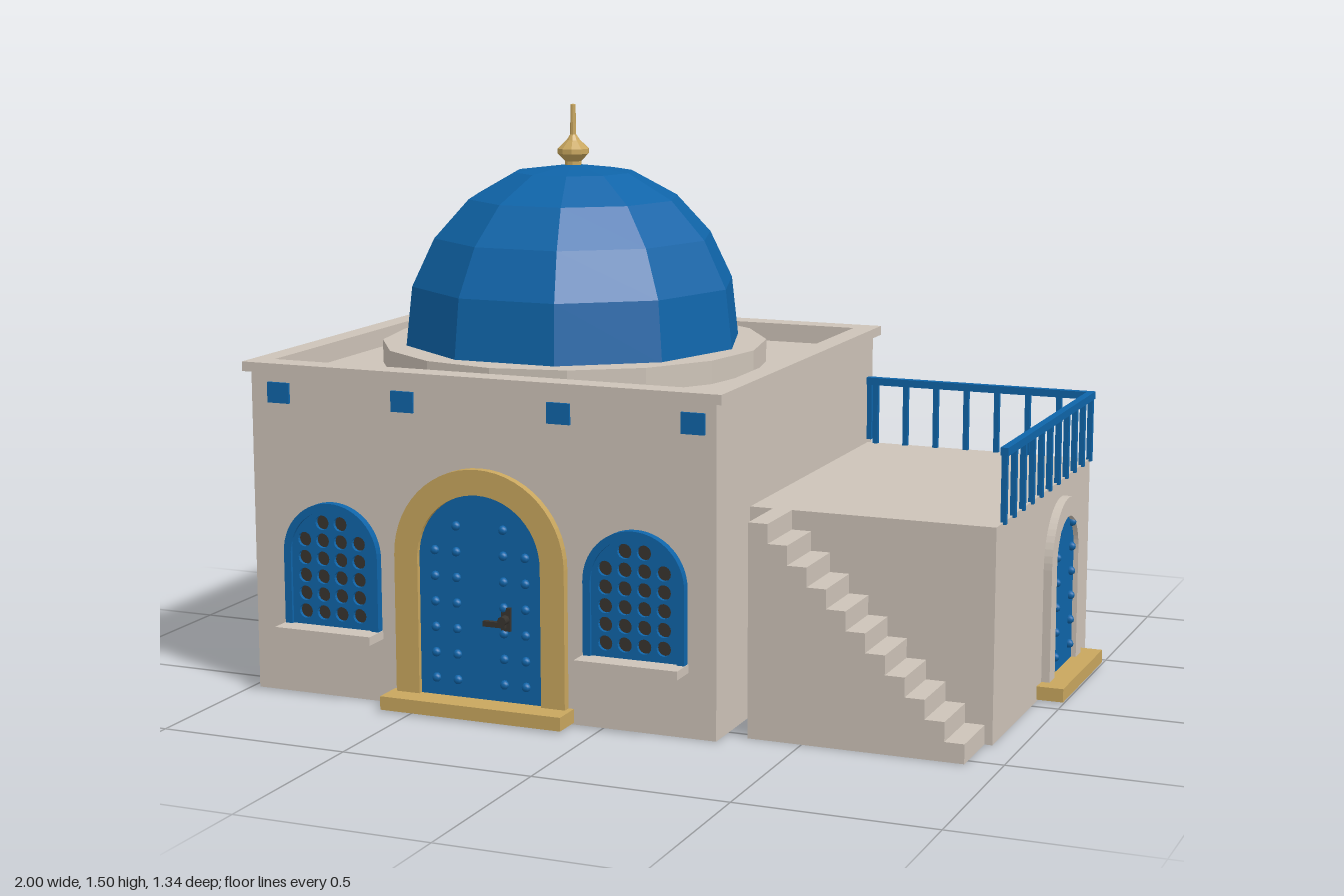
import * as THREE from 'three';

const mat = (name, color) => Object.assign(new THREE.MeshStandardMaterial({ color }), { name });

export function createModel() {
  const plaster = mat('plaster', 0xcdc3b8);
  const blue = mat('blue paint', 0x0f64a8);
  const gold = mat('gold trim', 0xc8a65e);
  const iron = mat('dark iron', 0x38342f);

  const root = new THREE.Group();
  root.name = 'domedHouse';
  const CX = -0.34; // centre of the main block

  const add = (parent, name, geo, material, x = 0, y = 0, z = 0) => {
    const m = new THREE.Mesh(geo, material);
    m.name = name;
    m.position.set(x, y, z);
    parent.add(m);
    return m;
  };
  // box given by its two extreme corners
  const box = (parent, name, material, x0, x1, y0, y1, z0, z1) =>
    add(parent, name, new THREE.BoxGeometry(x1 - x0, y1 - y0, z1 - z0), material,
      (x0 + x1) / 2, (y0 + y1) / 2, (z0 + z1) / 2);
  const faceted = (geo) => {
    const g = geo.toNonIndexed();
    g.computeVertexNormals();
    return g;
  };
  const extrude = (shape, depth) =>
    new THREE.ExtrudeGeometry(shape, { depth, bevelEnabled: false, curveSegments: 14 });

  // round-headed opening: half width r, from y0 up to the springing line yc
  const archShape = (r, y0, yc) => {
    const s = new THREE.Shape();
    s.moveTo(-r, y0);
    s.lineTo(r, y0);
    s.lineTo(r, yc);
    s.absarc(0, yc, r, 0, Math.PI, false);
    s.closePath();
    return s;
  };
  // surround that follows the arch and is open at the foot
  const surroundShape = (outer, inner, y0, yc) => {
    const s = new THREE.Shape();
    s.moveTo(outer, y0);
    s.lineTo(outer, yc);
    s.absarc(0, yc, outer, 0, Math.PI, false);
    s.lineTo(-outer, y0);
    s.lineTo(-inner, y0);
    s.lineTo(-inner, yc);
    s.absarc(0, yc, inner, Math.PI, 0, true);
    s.lineTo(inner, y0);
    s.closePath();
    return s;
  };
  const stud = new THREE.SphereGeometry(0.012, 8, 6);

  // ---- main block with sunken roof ----
  const frame = (name, hx, hz, y0, y1) => {
    const s = new THREE.Shape([[-hx, -hz], [hx, -hz], [hx, hz], [-hx, hz]].map(p => new THREE.Vector2(...p)));
    const [ix, iz] = [0.6, 0.535];
    s.holes.push(new THREE.Path([[-ix, -iz], [-ix, iz], [ix, iz], [ix, -iz]].map(p => new THREE.Vector2(...p))));
    add(root, name, extrude(s, y1 - y0).rotateX(-Math.PI / 2), plaster, CX, y0, 0);
  };
  box(root, 'mainBlock', plaster, -0.98, 0.3, 0, 0.81, -0.585, 0.585);
  frame('parapet', 0.64, 0.585, 0.81, 0.835);
  frame('cornice', 0.658, 0.6, 0.835, 0.86);

  // ---- dome, drum and finial ----
  add(root, 'drum', faceted(new THREE.CylinderGeometry(0.51, 0.51, 0.06, 16)), plaster, CX, 0.84, 0);
  const lathe = (pts, n) => faceted(
    new THREE.LatheGeometry(pts.map(p => new THREE.Vector2(...p)), n).rotateY(Math.PI / 2));
  add(root, 'dome', lathe([[0.45, 0.865], [0.432, 1.025], [0.372, 1.15], [0.28, 1.25],
    [0.157, 1.318], [0, 1.338]], 10), blue, CX);
  add(root, 'finial', lathe([[0.022, 1.33], [0.022, 1.345], [0.042, 1.365], [0.042, 1.378], [0.018, 1.4],
    [0.008, 1.415], [0.007, 1.493], [0, 1.495]], 10), gold, CX);

  // ---- arched window with pierced lattice ----
  const addWindow = (parent, x) => {
    const g = new THREE.Group();
    g.name = 'window';
    g.position.x = x;
    parent.add(g);
    add(g, 'windowBacking', extrude(archShape(0.12, 0.19, 0.375), 0.004), iron);
    const s = archShape(0.125, 0.187, 0.375);
    for (let row = 0; row < 6; row++) {
      for (let col = 0; col < 4; col++) {
        if (row === 5 && (col === 0 || col === 3)) continue;
        const h = new THREE.Path();
        h.absarc((col - 1.5) * 0.052, 0.222 + row * 0.047, 0.019, 0, Math.PI * 2, true);
        s.holes.push(h);
      }
    }
    add(g, 'windowLattice', new THREE.ExtrudeGeometry(s, { depth: 0.014, bevelEnabled: false, curveSegments: 8 }), blue);
    add(g, 'windowFrame', extrude(surroundShape(0.135, 0.115, 0.185, 0.375), 0.022), blue);
    box(g, 'windowSill', plaster, -0.137, 0.137, 0.165, 0.187, -0.01, 0.072);
  };

  // ---- arched door with surround, step and studs ----
  const addDoor = (parent, d) => {
    const g = new THREE.Group();
    g.name = 'door';
    parent.add(g);
    add(g, 'doorLeaf', extrude(archShape(d.inner + 0.005, 0.03, d.yc), 0.009), blue);
    add(g, 'doorSurround', extrude(surroundShape(d.outer, d.inner, 0.03, d.yc), 0.022), d.trim);
    box(g, 'doorStep', gold, -d.step, d.step, 0.005, 0.04, -0.01, d.stepDepth);
    for (const [x, top] of d.studs) {
      for (let y = 0.085; y < top; y += 0.066) {
        for (const s of [-1, 1]) add(g, 'doorStud', stud, blue, s * x, y, 0.012);
      }
    }
    return g;
  };

  // ---- matching front and back elevations ----
  for (const turn of [0, Math.PI]) {
    const side = new THREE.Group();
    side.name = turn ? 'backElevation' : 'frontElevation';
    side.position.set(-0.33, 0, turn ? -0.585 : 0.585);
    side.rotation.y = turn;
    root.add(side);

    const door = addDoor(side, {
      inner: 0.17, outer: 0.235, yc: 0.395, trim: gold, step: 0.25, stepDepth: 0.083,
      studs: [[0.065, 0.54], [0.125, 0.48]]
    });
    // handle: plate, knob and lever
    box(door, 'handlePlate', iron, 0.06, 0.085, 0.225, 0.285, 0.005, 0.018);
    add(door, 'handleKnob', new THREE.CylinderGeometry(0.012, 0.012, 0.03, 8).rotateX(Math.PI / 2), iron, 0.072, 0.255, 0.025);
    box(door, 'handleLever', iron, 0.02, 0.08, 0.238, 0.252, 0.028, 0.04);

    for (const s of [-1, 1]) {
      addWindow(side, s * 0.42);
      for (const x of [0.215, 0.57]) {
        box(side, 'wallTile', blue, s * x - 0.031, s * x + 0.031, 0.757, 0.81, -0.002, 0.007);
      }
    }
  }

  // ---- side terrace ----
  box(root, 'terrace', plaster, 0.3, 0.93, 0, 0.54, -0.55, 0.36);
  const sideWall = new THREE.Group();
  sideWall.name = 'sideElevation';
  sideWall.position.set(0.93, 0, -0.25);
  sideWall.rotation.y = Math.PI / 2;
  root.add(sideWall);
  addDoor(sideWall, {
    inner: 0.109, outer: 0.16, yc: 0.335, trim: plaster, step: 0.205, stepDepth: 0.07,
    studs: [[0.073, 0.42]]
  });

  // ---- staircase, solid to the ground ----
  const steps = 11, rise = 0.54 / steps, run = 0.55 / steps;
  const profile = new THREE.Shape();
  profile.moveTo(0.36, 0);
  profile.lineTo(0.91, 0);
  for (let i = 0; i < steps; i++) {
    profile.lineTo(0.91 - i * run, (i + 1) * rise);
    profile.lineTo(0.91 - (i + 1) * run, (i + 1) * rise);
  }
  profile.closePath();
  add(root, 'staircase', extrude(profile, 0.175), plaster, 0, 0, 0.355);

  // ---- railings along the right and back of the terrace ----
  const w = 0.007;
  box(root, 'sideHandrail', blue, 0.92, 0.94, 0.704, 0.724, -0.555, 0.303);
  box(root, 'backHandrail', blue, 0.3, 0.94, 0.704, 0.724, -0.555, -0.535);
  for (let i = 0; i < 11; i++) {
    const z = 0.295 - i * 0.084;
    box(root, 'sideBaluster', blue, 0.93 - w, 0.93 + w, 0.535, 0.71, z - w, z + w);
  }
  for (let i = 0; i < 7; i++) {
    const x = 0.325 + i * 0.0864;
    box(root, 'backBaluster', blue, x - w, x + w, 0.535, 0.71, -0.545 - w, -0.545 + w);
  }
  box(root, 'railingWallPost', blue, 0.295, 0.313, 0.55, 0.72, -0.582, -0.54);

  return root;
}
